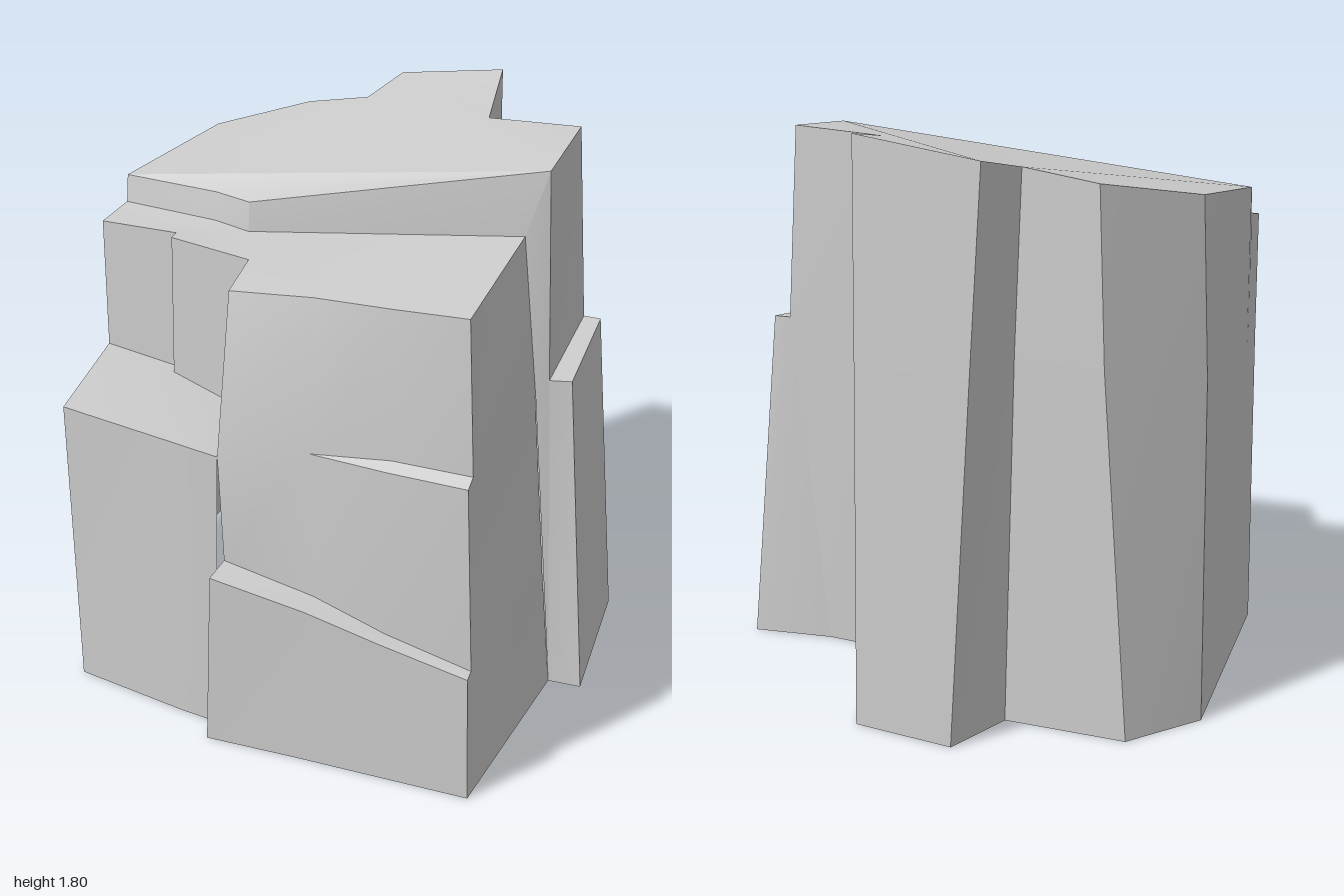
import * as THREE from 'three';
import { toCreasedNormals } from 'three/addons/utils/BufferGeometryUtils.js';

const material = new THREE.MeshStandardMaterial({ color: 0xcccccc, side: THREE.DoubleSide });

function rockMesh(name, points, index) {
  const geometry = new THREE.BufferGeometry();
  geometry.setAttribute('position', new THREE.Float32BufferAttribute(points.flat(), 3));
  geometry.setIndex(index);
  const mesh = new THREE.Mesh(toCreasedNormals(geometry, 0.4), material);
  mesh.name = name;
  return mesh;
}

// Wall lofted between neighbouring columns; each column runs from bottom to top.
function wall(name, columns) {
  const n = columns[0].length, points = columns.flat(), index = [];
  const add = (...t) => {
    const [a, b, c] = t.map(i => new THREE.Vector3(...points[i]));
    if (b.sub(a).cross(c.sub(a)).length() > 1e-6) index.push(...t);
  };
  for (let i = 0; i < columns.length - 1; i++) {
    for (let j = 0; j < n - 1; j++) {
      const a = i * n + j, b = a + n;
      add(a, b, b + 1);
      add(a, b + 1, a + 1);
    }
  }
  return rockMesh(name, points, index);
}

// Roughly level surface filling an outline.
function ledge(name, outline) {
  const flat = outline.map(([x, , z]) => new THREE.Vector2(x, -z));
  const triangles = THREE.ShapeUtils.triangulateShape(flat, []);
  const index = triangles.flatMap(([a, b, c]) => {
    const turn = flat[b].clone().sub(flat[a]).cross(flat[c].clone().sub(flat[a]));
    return turn > 0 ? [a, b, c] : [a, c, b];
  });
  return rockMesh(name, outline, index);
}

const tops = columns => columns.map(c => c[c.length - 1]);
const bottoms = columns => columns.map(c => c[0]);

export function createModel() {
  const group = new THREE.Group();
  group.name = 'rockOutcrop';

  // Low shoulder at the front, on the -x side
  const shoulder = [
    [[-0.84, 0, 0.36], [-0.83, 1.03, 0.36]],
    [[-0.76, 0, 0.79], [-0.76, 0.98, 0.79]],
    [[-0.34, 0, 0.88], [-0.34, 0.96, 0.87]],
    [[-0.21, 0, 0.90], [-0.17, 0.95, 0.90]],
  ];
  // Recessed wall above the shoulder
  const niche = [
    [[-0.83, 1.03, 0.36], [-0.83, 1.46, 0.35]],
    [[-0.54, 1.01, 0.42], [-0.53, 1.47, 0.41]],
    [[-0.53, 1.01, 0.47], [-0.52, 1.47, 0.46]],
    [[-0.22, 0.95, 0.56], [-0.21, 1.46, 0.55]],
    [[-0.17, 0.95, 0.90], [-0.17, 1.44, 0.78]],
  ];
  // Stepped buttress: base, lower step, upper step, crest
  const buttress = [
    [[-0.21, 0, 0.90], [-0.17, 0.58, 0.90], [-0.16, 0.60, 0.90], [-0.17, 0.95, 0.90], [-0.17, 0.95, 0.90], [-0.17, 1.44, 0.78]],
    [[-0.20, 0, 0.99], [-0.17, 0.58, 0.985], [-0.16, 0.60, 0.90], [-0.17, 0.95, 0.90], [-0.17, 0.95, 0.90], [-0.17, 1.44, 0.78]],
    [[0.11, 0, 0.99], [0.14, 0.525, 0.985], [0.14, 0.54, 0.91], [0.12, 1.0, 0.88], [0.12, 1.0, 0.88], [0.11, 1.46, 0.80]],
    [[0.38, 0, 0.995], [0.38, 0.465, 0.985], [0.38, 0.47, 0.93], [0.38, 1.0, 0.92], [0.38, 1.02, 0.88], [0.37, 1.475, 0.85]],
    [[0.67, 0, 1.0], [0.66, 0.41, 0.995], [0.66, 0.42, 0.96], [0.64, 1.01, 0.965], [0.64, 1.03, 0.92], [0.62, 1.50, 0.915]],
    [[0.73, 0, 0.29], [0.69, 0.41, 0.28], [0.69, 0.42, 0.28], [0.64, 1.01, 0.265], [0.64, 1.03, 0.265], [0.59, 1.54, 0.27]],
  ];
  // Short front face below the summit
  const summitFront = [
    [[-0.83, 1.48, 0.18], [-0.83, 1.57, 0.165]],
    [[-0.46, 1.48, 0.27], [-0.46, 1.57, 0.25]],
    [[-0.31, 1.475, 0.33], [-0.31, 1.57, 0.32]],
    [[0.59, 1.54, 0.27], [0.66, 1.75, 0.26]],
  ];
  // Narrow return between the buttress and the side slab
  const cornerReturn = [
    [[0.73, 0, 0.29], [0.64, 1.03, 0.265], [0.59, 1.54, 0.27]],
    [[0.73, 0, 0.29], [0.68, 1.07, 0.25], [0.66, 1.75, 0.26]],
  ];
  // Leaning slab on the +x side, closed by a small shelf
  const sideSlab = [
    [[0.73, 0, 0.29], [0.68, 1.07, 0.25], [0.68, 1.07, 0.25]],
    [[0.84, 0, 0.29], [0.75, 1.07, 0.235], [0.68, 1.07, 0.25]],
    [[0.80, 0, -0.30], [0.73, 1.12, -0.22], [0.67, 1.12, -0.23]],
    [[0.52, 0, -0.29], [0.67, 1.12, -0.23], [0.67, 1.12, -0.23]],
  ];
  const sideUpper = [
    [[0.68, 1.07, 0.25], [0.66, 1.75, 0.26]],
    [[0.67, 1.12, -0.23], [0.63, 1.77, -0.23]],
  ];
  // Back with its projecting pillar
  const back = [
    [[0.52, 0, -0.29], [0.67, 1.12, -0.23], [0.63, 1.77, -0.23]],
    [[0.29, 0, -0.33], [0.29, 1.12, -0.325], [0.29, 1.75, -0.32]],
    [[0.17, 0, -0.93], [0.175, 1.12, -0.88], [0.18, 1.80, -0.85]],
    [[-0.16, 0, -1.0], [-0.21, 1.12, -0.96], [-0.24, 1.74, -0.94]],
    [[-0.26, 0, -0.77], [-0.27, 1.14, -0.71], [-0.28, 1.70, -0.67]],
    [[-0.65, 0, -0.81], [-0.55, 1.12, -0.73], [-0.52, 1.66, -0.69]],
    [[-0.84, 0, -0.59], [-0.81, 1.05, -0.475], [-0.78, 1.61, -0.44]],
    [[-0.84, 0, 0.18], [-0.83, 1.03, 0.18], [-0.83, 1.57, 0.165]],
  ];
  // Narrow end of the -x side, below the front terrace
  const sideEnd = [
    [[-0.84, 0, 0.18], [-0.83, 1.03, 0.18], [-0.83, 1.48, 0.18]],
    [[-0.84, 0, 0.36], [-0.83, 1.03, 0.36], [-0.83, 1.46, 0.35]],
  ];

  const walls = { shoulder, niche, buttress, summitFront, cornerReturn, sideSlab, sideUpper, back, sideEnd };
  for (const [name, columns] of Object.entries(walls)) group.add(wall(name + 'Wall', columns));

  // Level surfaces share the edges of the walls around them
  group.add(
    ledge('shoulderLedge', [...tops(shoulder), ...bottoms(niche).slice(1, 4).reverse()]),
    ledge('frontTerrace', [...tops(niche), ...tops(buttress).slice(2), ...bottoms(summitFront).slice(0, 3).reverse()]),
    ledge('summit', [...tops(summitFront), ...tops(back).slice(0, 7)]),
  );
  return group;
}
